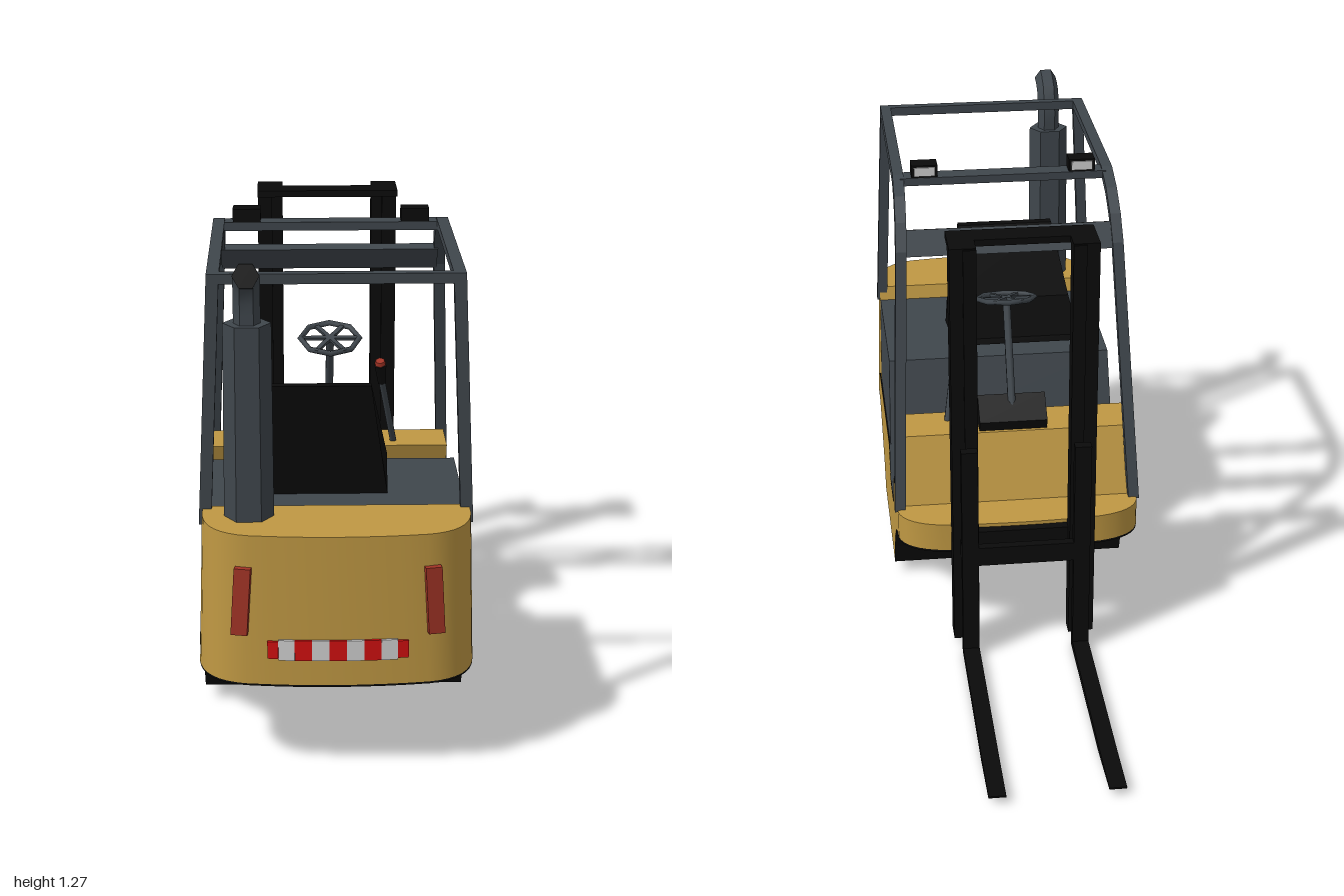
import * as THREE from 'three';
import { toCreasedNormals } from 'three/addons/utils/BufferGeometryUtils.js';

const mat = (name, color) => new THREE.MeshStandardMaterial({ name, color });

export function createModel() {
  const root = new THREE.Group();
  root.name = 'forklift';
  const yellow = mat('body yellow', 0xbf9843);
  const grey = mat('frame grey', 0x3f464c);
  const black = mat('black', 0x0a0a0a);
  const lampRed = mat('lamp red', 0xa03325);
  const red = mat('stripe red', 0xd01010);
  const white = mat('white', 0xd0d0d0);

  const add = (name, geo, material, x = 0, y = 0, z = 0, parent = root) => {
    const m = new THREE.Mesh(geo, material);
    m.name = name;
    m.position.set(x, y, z);
    parent.add(m);
    return m;
  };
  // box given by its min and max corners
  const box = (name, material, x0, x1, y0, y1, z0, z1) =>
    add(name, new THREE.BoxGeometry(x1 - x0, y1 - y0, z1 - z0), material,
      (x0 + x1) / 2, (y0 + y1) / 2, (z0 + z1) / 2);
  // side profile of (z, y) points, extruded across x
  const profile = (pts, width) => {
    const shape = new THREE.Shape(pts.map(p => new THREE.Vector2(p[0], p[1])));
    return new THREE.ExtrudeGeometry(shape, { depth: width, bevelEnabled: false })
      .rotateY(-Math.PI / 2).translate(width / 2, 0, 0);
  };
  // plan outline (x, -z), extruded from y0 up to y1
  const plan = (shape, y0, y1) =>
    new THREE.ExtrudeGeometry(shape, { depth: y1 - y0, bevelEnabled: false, curveSegments: 8 })
      .rotateX(-Math.PI / 2).translate(0, y0, 0);
  const reshape = (geo, rule) => {
    const p = geo.attributes.position, v = new THREE.Vector3();
    for (let i = 0; i < p.count; i++) {
      rule(v.fromBufferAttribute(p, i));
      p.setXYZ(i, v.x, v.y, v.z);
    }
    geo.computeVertexNormals();
    return geo;
  };
  // straight rod between two points
  const rod = (name, material, a, b, r0, r1, sides = 6) => {
    const A = new THREE.Vector3(...a), B = new THREE.Vector3(...b);
    const m = add(name, new THREE.CylinderGeometry(r1, r0, A.distanceTo(B), sides), material);
    m.position.copy(A).lerp(B, 0.5);
    m.quaternion.setFromUnitVectors(new THREE.Vector3(0, 1, 0), B.sub(A).normalize());
    return m;
  };

  // lower chassis: yellow flanks, black underside
  add('chassis', profile([
    [0.82, 0.25], [0.78, 0.247], [0.73, 0.222], [0.6, 0.115], [0.55, 0.04], [0.11, 0.04],
    [0.09, 0.105], [0.05, 0.165], [0, 0.215], [-0.08, 0.26], [-0.15, 0.275], [-0.15, 0.355],
    [0.05, 0.355], [0.11, 0.24], [0.23, 0.24], [0.27, 0.35], [0.74, 0.35], [0.82, 0.3],
  ], 0.67), [yellow, black]);
  add('footwellFloor', profile([
    [0.05, 0.357], [0.11, 0.237], [0.23, 0.237], [0.27, 0.352],
    [0.265, 0.352], [0.227, 0.244], [0.113, 0.244], [0.055, 0.36],
  ], 0.668), grey);

  // counterweight, slightly tapered, with a raked front face
  const rear = new THREE.Shape();
  rear.moveTo(-0.335, -0.78);
  rear.lineTo(-0.335, -0.84);
  rear.quadraticCurveTo(-0.325, -0.955, -0.22, -0.975);
  rear.quadraticCurveTo(0, -1.005, 0.22, -0.975);
  rear.quadraticCurveTo(0.325, -0.955, 0.335, -0.84);
  rear.lineTo(0.335, -0.78);
  const rake = v => {
    if (v.z < 0.8) v.z -= (0.63 - v.y) * 0.29;
    v.x *= 1 - 0.09 * (v.y - 0.25);
  };
  add('counterweight', toCreasedNormals(reshape(plan(rear, 0.25, 0.63), rake), 0.6), yellow);
  add('counterweightUnderside', plan(rear, 0.245, 0.25), black);

  // nose and its underside
  const nose = new THREE.Shape();
  nose.moveTo(0.335, 0);
  nose.lineTo(0.335, 0.15);
  nose.quadraticCurveTo(0.32, 0.215, 0.22, 0.232);
  nose.quadraticCurveTo(0, 0.25, -0.22, 0.232);
  nose.quadraticCurveTo(-0.32, 0.215, -0.335, 0.15);
  nose.lineTo(-0.335, 0);
  add('nose', toCreasedNormals(plan(nose, 0.28, 0.36), 0.6), yellow);
  add('noseUnderside', plan(nose, 0.274, 0.28), black);

  // dashboard and engine hood
  add('dashboard', profile([
    [-0.12, 0.355], [0.05, 0.355], [0.05, 0.42], [0.09, 0.54], [-0.045, 0.54],
  ], 0.65), yellow);
  add('engineHood', reshape(profile([
    [0.265, 0.35], [0.72, 0.35], [0.785, 0.59], [0.335, 0.59],
  ], 0.668), v => { v.x *= 1 - 0.09 * (v.y - 0.25); }), grey);

  // seat: narrower toward the top of the backrest
  add('seat', reshape(profile([
    [0.595, 0.59], [0.645, 0.89], [0.62, 0.89], [0.545, 0.68], [0.32, 0.655], [0.315, 0.638],
  ].reverse(), 0.37), v => {
    v.x *= v.y > 0.8 ? 0.76 : 1;
    v.x -= 0.05;
  }), black);

  // overhead guard: two bent side frames leaning inward, plus crossbars
  const frame = [
    [-0.14, 0.355], [-0.11, 0.355], [0.065, 1.05], [0.105, 1.115], [0.155, 1.16], [0.23, 1.19],
    [0.775, 1.19], [0.775, 0.59], [0.8, 0.59], [0.8, 1.215], [0.22, 1.215], [0.14, 1.183],
    [0.08, 1.13], [0.04, 1.06],
  ];
  for (const s of [-1, 1]) {
    add(s > 0 ? 'leftGuardFrame' : 'rightGuardFrame', reshape(profile(frame, 0.03),
      v => { v.x += s * (0.29 + (1.215 - v.y) * 0.045); }), grey);
  }
  box('rearRoofBar', grey, -0.285, 0.285, 1.19, 1.215, 0.775, 0.8);
  box('frontRoofBar', grey, -0.285, 0.285, 1.188, 1.21, 0.2, 0.25);
  add('windscreenBar', profile([
    [0.04, 1.045], [0.065, 1.04], [0.1, 1.1], [0.075, 1.11],
  ], 0.58), grey);

  // work lights on the roof
  for (const s of [-1, 1]) {
    const x = s * 0.218;
    box('workLight', black, x - 0.036, x + 0.036, 1.21, 1.245, 0.202, 0.25);
    box('workLightLens', white, x - 0.029, x + 0.029, 1.215, 1.24, 0.198, 0.203);
  }

  // exhaust stack with bent outlet
  add('exhaustStack', new THREE.CylinderGeometry(0.057, 0.06, 0.49, 6).toNonIndexed()
    .rotateY(Math.PI / 6).scale(1, 1, 0.86), grey, -0.21, 0.865, 0.845).geometry.computeVertexNormals();
  const bend = new THREE.CatmullRomCurve3([
    [1.1, 0.845], [1.18, 0.847], [1.225, 0.87], [1.243, 0.925],
  ].map(p => new THREE.Vector3(-0.21, ...p)));
  add('exhaustOutlet', toCreasedNormals(new THREE.TubeGeometry(bend, 6, 0.032, 6), 0.5), grey);
  add('exhaustOpening', new THREE.CircleGeometry(0.032, 6).rotateX(-0.32), black, -0.21, 1.243, 0.926);

  // steering pedestal, column and wheel
  add('steeringPedestal', profile([
    [-0.04, 0.54], [0.035, 0.54], [0.045, 0.57], [-0.02, 0.625], [-0.045, 0.6],
  ].map(p => [-p[0], p[1]]).reverse(), 0.19), black);
  rod('steeringColumn', grey, [0, 0.59, 0.0], [0, 0.865, 0.14], 0.012, 0.012);
  const wheel = new THREE.Group();
  wheel.name = 'steeringWheel';
  wheel.position.set(0, 0.865, 0.14);
  wheel.rotation.x = 0.26;
  root.add(wheel);
  add('wheelRim', new THREE.TorusGeometry(0.08, 0.008, 5, 8).rotateX(Math.PI / 2), grey, 0, 0, 0, wheel);
  for (let i = 0; i < 3; i++) {
    add('wheelSpoke', new THREE.BoxGeometry(0.16, 0.008, 0.012).rotateY(i * Math.PI / 3),
      grey, 0, 0, 0, wheel);
  }

  // control lever
  rod('leverArm', grey, [0.18, 0.53, 0.04], [0.14, 0.75, 0.145], 0.01, 0.01);
  rod('leverGrip', black, [0.141, 0.74, 0.14], [0.135, 0.8, 0.168], 0.012, 0.018);
  rod('leverButton', lampRed, [0.135, 0.8, 0.168], [0.134, 0.81, 0.172], 0.016, 0.013);

  // mast, carriage and forks
  for (const s of [-1, 1]) {
    const span = (name, a, b, ...rest) =>
      box(name, black, Math.min(s * a, s * b), Math.max(s * a, s * b), ...rest);
    span('mastOuterRail', 0.155, 0.195, 0.025, 1.2, -0.29, -0.23);
    span('mastInnerRail', 0.125, 0.16, 0.025, 1.2, -0.295, -0.245);
    span('mastTopPlate', 0.125, 0.195, 1.187, 1.203, -0.29, -0.165);
    span('carriageBracket', 0.135, 0.175, 0.3, 0.345, -0.32, -0.29);
    span('forkUpright', 0.13, 0.175, 0.005, 0.64, -0.342, -0.315);
    add('forkTine', profile([
      [-0.32, 0], [-0.32, 0.023], [-0.85, 0.023], [-1, 0.026], [-1, 0.021], [-0.82, 0.003],
    ].reverse(), 0.045), black, s * 0.1525, 0, 0).geometry.computeVertexNormals();
  }
  box('mastTopBar', black, -0.195, 0.195, 1.185, 1.203, -0.235, -0.165);
  box('mastLowerBar', black, -0.16, 0.16, 0.29, 0.35, -0.265, -0.235);
  box('carriageBar', black, -0.135, 0.135, 0.29, 0.345, -0.342, -0.318);

  // tail lamps and hazard stripe on the curved rear face
  const backZ = x => 0.99 - 0.015 * (x / 0.22) ** 2;
  for (const s of [-1, 1]) {
    const lamp = new THREE.BoxGeometry(0.04, 0.17, 0.03);
    reshape(lamp, v => { v.x -= s * v.y * 0.06; });
    add('tailLamp', lamp, lampRed, s * 0.228, 0.465, 0.972).rotation.y = s * 0.2;
  }
  const edges = [-0.168, -0.142, -0.103, -0.062, -0.021, 0.021, 0.062, 0.103, 0.142, 0.168];
  for (let i = 0; i < 9; i++) {
    const x = (edges[i] + edges[i + 1]) / 2;
    const end = i === 0 || i === 8;
    add('hazardStripe', new THREE.BoxGeometry(edges[i + 1] - edges[i], end ? 0.044 : 0.052, 0.009),
      i % 2 ? white : red, x, 0.342, backZ(x) + 0.002).rotation.y = x * 0.62;
  }
  return root;
}
